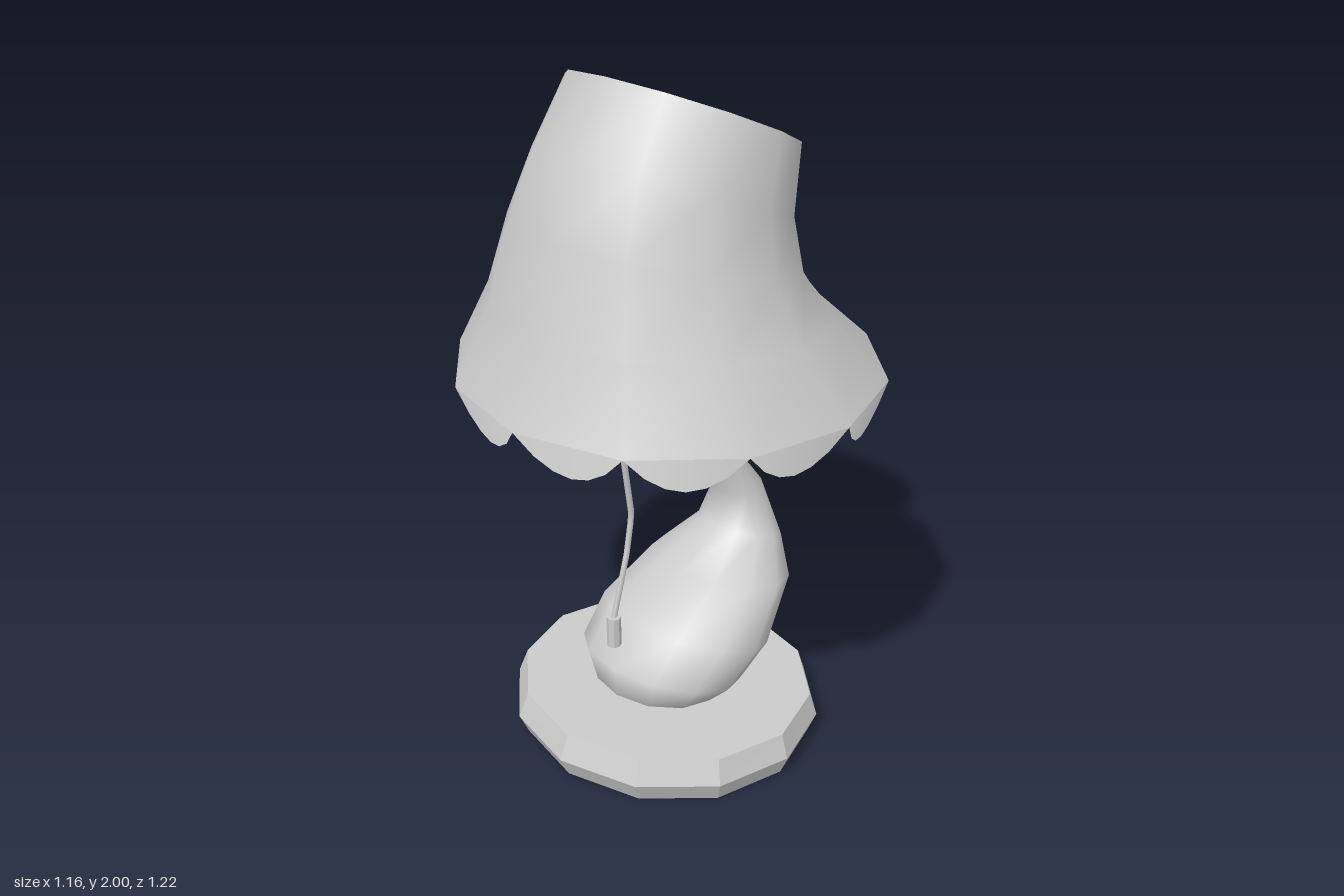
import * as THREE from 'three';

const SIDES = 12;

function material(flat = false, side = THREE.FrontSide) {
  return new THREE.MeshStandardMaterial({ color: 0xcccccc, flatShading: flat, side });
}

// A ring runs from its -x edge to its +x edge, with a depth radius rz around zc.
function ringPoint([lx, ly, rx, ry, rz, zc = 0], angle) {
  const c = Math.cos(angle) / 2;
  return [(lx + rx) / 2 + c * (rx - lx), (ly + ry) / 2 + c * (ry - ly), zc + rz * Math.sin(angle)];
}

// Skin a stack of rings listed from bottom to top, with optional flat end caps.
function loft(rings, capBottom, capTop) {
  const pos = [], idx = [];
  const addRing = (ring) => {
    const start = pos.length / 3;
    for (let j = 0; j < SIDES; j++) pos.push(...ringPoint(ring, (j / SIDES) * Math.PI * 2));
    return start;
  };
  rings.forEach(addRing);
  for (let i = 0; i < rings.length - 1; i++) {
    for (let j = 0; j < SIDES; j++) {
      const k = (j + 1) % SIDES;
      const a = i * SIDES + j, b = i * SIDES + k;
      idx.push(a, a + SIDES, b, b, a + SIDES, b + SIDES);
    }
  }
  const cap = (ring, up) => {
    const s = addRing(ring);
    for (let j = 1; j < SIDES - 1; j++) {
      if (up) idx.push(s, s + j + 1, s + j);
      else idx.push(s, s + j, s + j + 1);
    }
  };
  if (capBottom) cap(rings[0], false);
  if (capTop) cap(rings[rings.length - 1], true);
  const g = new THREE.BufferGeometry();
  g.setAttribute('position', new THREE.Float32BufferAttribute(pos, 3));
  g.setIndex(idx);
  g.computeVertexNormals();
  return g;
}

// Hanging scallops, one along each side of the shade's lower ring.
function scallops(ring, drop, steps) {
  const pos = [], nor = [], idx = [];
  for (let j = 0; j < SIDES; j++) {
    const p = ringPoint(ring, (j / SIDES) * Math.PI * 2);
    const q = ringPoint(ring, ((j + 1) / SIDES) * Math.PI * 2);
    const start = pos.length / 3;
    for (let s = 0; s <= steps; s++) {
      const t = s / steps;
      const [x, y, z] = p.map((v, k) => v + (q[k] - v) * t);
      const d = Math.pow(Math.max(0, Math.sin(Math.PI * t)), 0.8);
      const tuck = 1 - 0.03 * d;
      pos.push(x, y, z, x * tuck, y - drop * d, z * tuck);
      const n = new THREE.Vector3(x, 0.15, z).normalize();
      nor.push(n.x, n.y, n.z, n.x, n.y, n.z);
    }
    for (let s = 0; s < steps; s++) {
      const a = start + s * 2;
      idx.push(a, a + 2, a + 1, a + 1, a + 2, a + 3);
    }
  }
  const g = new THREE.BufferGeometry();
  g.setAttribute('position', new THREE.Float32BufferAttribute(pos, 3));
  g.setAttribute('normal', new THREE.Float32BufferAttribute(nor, 3));
  g.setIndex(idx);
  return g;
}

export function createModel() {
  const lamp = new THREE.Group();
  lamp.name = 'tableLamp';
  const add = (name, geometry, mat, parent = lamp) => {
    const mesh = new THREE.Mesh(geometry, mat);
    mesh.name = name;
    parent.add(mesh);
    return mesh;
  };

  // Faceted foot, slightly lower on the +x side
  add('base', loft([
    [-0.43, 0, 0.405, 0, 0.45],
    [-0.46, 0.065, 0.43, 0.06, 0.475],
    [-0.43, 0.14, 0.41, 0.125, 0.45],
  ], true, true), material(true));

  // Bent body, swelling low down and narrowing into the neck
  add('body', loft([
    [-0.18, 0.135, 0.06, 0.125, 0.15],
    [-0.225, 0.165, 0.13, 0.135, 0.205],
    [-0.235, 0.26, 0.17, 0.15, 0.26],
    [-0.13, 0.365, 0.28, 0.22, 0.275],
    [0.05, 0.455, 0.425, 0.385, 0.225],
    [0.215, 0.55, 0.44, 0.48, 0.135],
    [0.235, 0.66, 0.39, 0.66, 0.075],
    [0.16, 0.84, 0.235, 0.87, 0.045, -0.015],
    [0.0, 1.03, 0.07, 1.045, 0.042, -0.022],
    [-0.045, 1.14, 0.015, 1.16, 0.04, -0.022],
    [-0.06, 1.2, 0.0, 1.21, 0.04, -0.022],
  ], true, true), material());

  // Lamp holder and bulb inside the shade
  const light = new THREE.Group();
  light.name = 'bulbAssembly';
  light.position.set(-0.03, 1.17, -0.02);
  light.rotation.z = 0.2;
  lamp.add(light);
  add('socket', new THREE.CylinderGeometry(0.105, 0.1, 0.08, 12), material(true), light).position.y = 0.04;
  const bulbProfile = [[0.07, 0.08], [0.075, 0.12], [0.115, 0.19], [0.125, 0.25], [0.09, 0.32], [0, 0.35]]
    .map(([x, y]) => new THREE.Vector2(x, y));
  add('bulb', new THREE.LatheGeometry(bulbProfile, 10), material(), light);

  // Leaning shade with a closed top and a scalloped edge
  const shade = new THREE.Group();
  shade.name = 'shade';
  lamp.add(shade);
  const shadeRings = [
    [-0.58, 1.17, 0.578, 1.18, 0.612],
    [-0.49, 1.39, 0.41, 1.325, 0.49],
    [-0.43, 1.63, 0.31, 1.44, 0.41],
    [-0.35, 1.82, 0.295, 1.56, 0.36],
    [-0.23, 2.0, 0.335, 1.735, 0.325],
  ];
  add('shadeWall', loft(shadeRings, false, true), material(false, THREE.DoubleSide), shade);
  add('scallopedEdge', scallops(shadeRings[0], 0.1, 6), material(false, THREE.DoubleSide), shade);

  // Pull cord with a small weight
  const cord = new THREE.CurvePath();
  const cordPoints = [[-0.25, 1.4], [-0.2, 1.1], [-0.175, 0.95], [-0.143, 0.74], [-0.165, 0.62], [-0.222, 0.43]]
    .map(([x, y]) => new THREE.Vector3(x, y, -0.01));
  for (let i = 0; i < cordPoints.length - 1; i++) {
    cord.add(new THREE.LineCurve3(cordPoints[i], cordPoints[i + 1]));
  }
  add('pullCord', new THREE.TubeGeometry(cord, 30, 0.009, 6), material());
  add('pullWeight', new THREE.CylinderGeometry(0.021, 0.021, 0.095, 8), material(true)).position.set(-0.222, 0.388, -0.01);

  return lamp;
}
